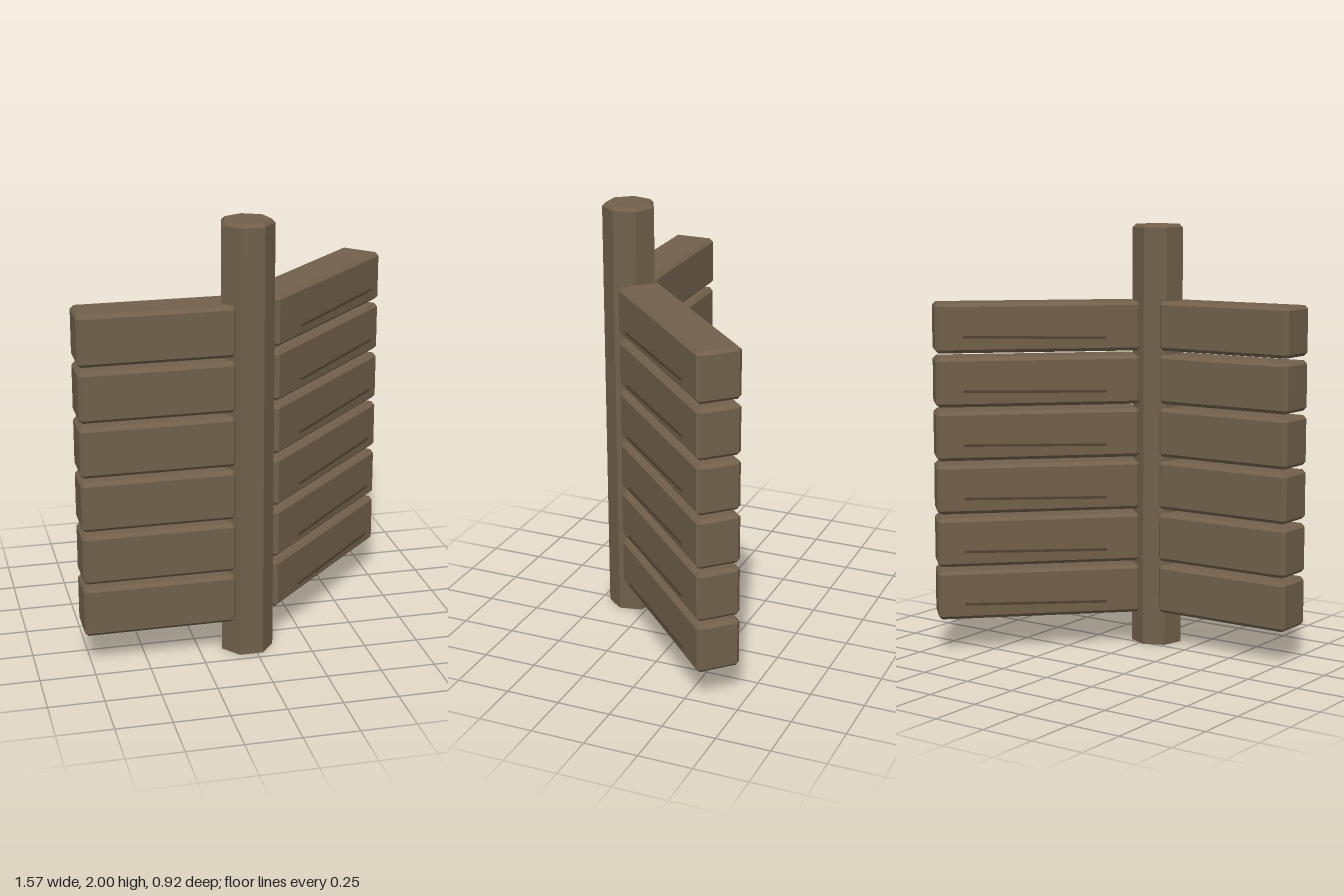
import * as THREE from 'three';
import { ConvexGeometry } from 'three/addons/geometries/ConvexGeometry.js';

const BEVEL = 0.016;

// Box with every edge and corner chamfered
function chamferedBox(w, h, d, b = BEVEL) {
  const x = w / 2, y = h / 2, z = d / 2, points = [];
  for (const sx of [-1, 1]) for (const sy of [-1, 1]) for (const sz of [-1, 1]) {
    points.push(
      new THREE.Vector3(sx * x, sy * (y - b), sz * (z - b)),
      new THREE.Vector3(sx * (x - b), sy * y, sz * (z - b)),
      new THREE.Vector3(sx * (x - b), sy * (y - b), sz * z));
  }
  return new ConvexGeometry(points);
}

export function createModel() {
  const wood = new THREE.MeshStandardMaterial({ name: 'weathered wood', color: 0x71604b, flatShading: true });
  const dark = new THREE.MeshStandardMaterial({ name: 'dark crack', color: 0x504233, flatShading: true });
  const model = new THREE.Group();
  model.name = 'cornerFence';

  const add = (parent, name, geometry, material, x, y, z) => {
    const mesh = new THREE.Mesh(geometry, material);
    mesh.name = name;
    mesh.position.set(x, y, z);
    parent.add(mesh);
    return mesh;
  };

  // Seven-sided corner post with a chamfered top
  const R = 0.122;
  const profile = [[0, 0], [R, 0], [R, 2 - BEVEL], [R - BEVEL, 2], [0, 2]].map(([x, y]) => new THREE.Vector2(x, y));
  add(model, 'post', new THREE.LatheGeometry(profile, 7, Math.PI), wood, -0.027, 0, 0.35);

  // Two walls of stacked boards, the second turned by 45 degrees
  const shortWall = new THREE.Group();
  shortWall.name = 'shortWall';
  shortWall.position.set(-0.439, 0, 0.349);
  const longWall = new THREE.Group();
  longWall.name = 'longWall';
  longWall.position.set(0.383, 0, -0.063);
  longWall.rotation.y = Math.PI / 4;
  model.add(shortWall, longWall);

  const shortBoard = chamferedBox(0.69, 0.23, 0.202);
  const longBoard = chamferedBox(0.957, 0.23, 0.202);
  const crack = new THREE.BoxGeometry(0.666, 0.011, 0.008);
  for (let i = 0; i < 6; i++) {
    const y = 0.2765 + i * 0.2505;
    add(shortWall, 'shortBoard', shortBoard, wood, 0, y, 0);
    add(longWall, 'longBoard', longBoard, wood, 0, y, 0);
    // Slightly tilted cracks on both faces
    for (const side of [-1, 1]) {
      add(longWall, 'crack', crack, dark, 0.02, y - 0.044, side * 0.123).rotation.z = 0.018;
    }
  }
  return model;
}
